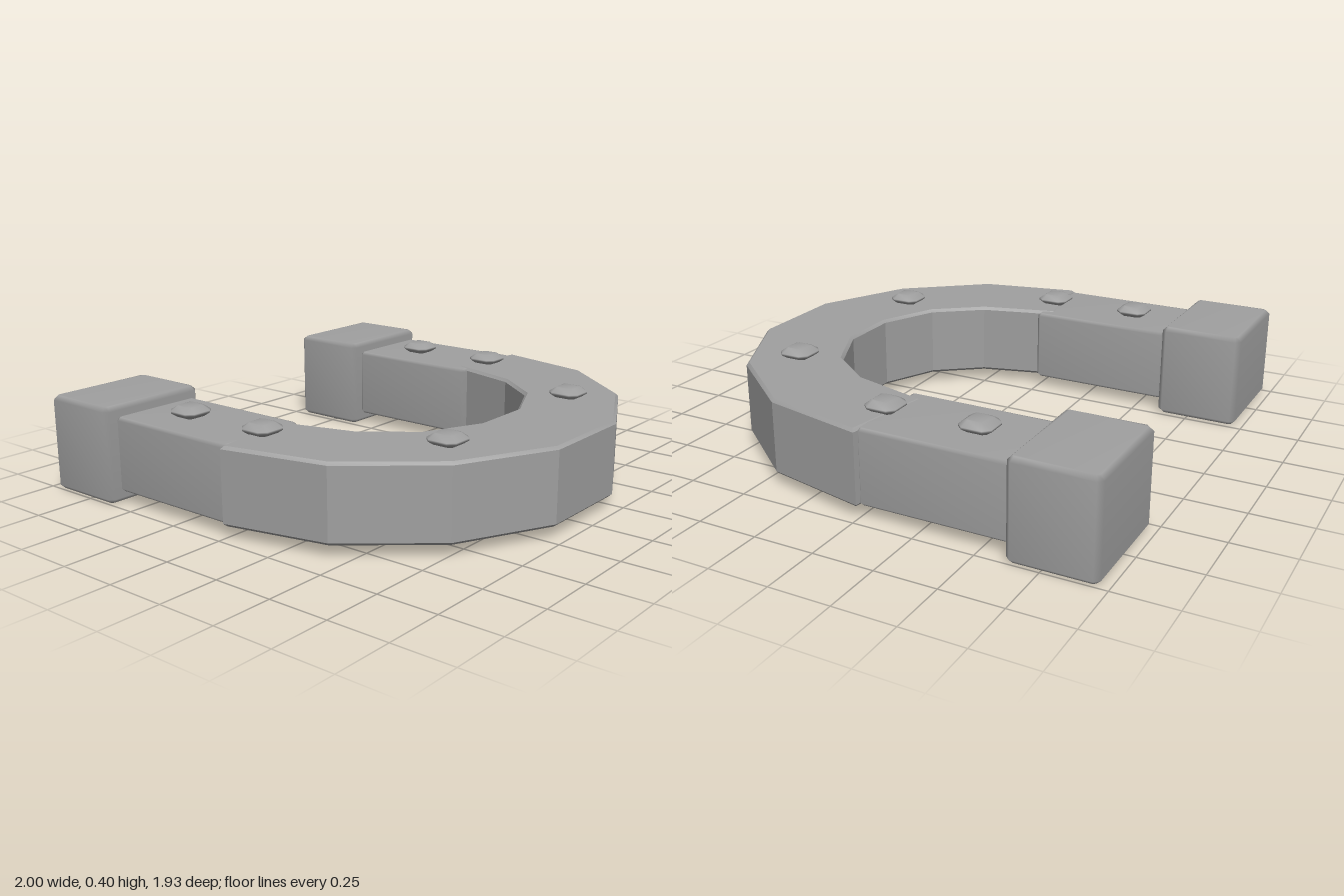
import * as THREE from 'three';
import { mergeVertices, toCreasedNormals } from 'three/addons/utils/BufferGeometryUtils.js';

// Upright prism with chamfered rims: plan points are [x, z], spanning y0..y1
function prism(plan, y0, y1, inset, rim) {
  const shape = new THREE.Shape(plan.map(([x, z]) => new THREE.Vector2(x, z)));
  const geo = new THREE.ExtrudeGeometry(shape, {
    depth: y1 - y0 - 2 * rim, bevelEnabled: true, bevelSegments: 1,
    bevelSize: inset, bevelOffset: -inset, bevelThickness: rim,
  });
  geo.rotateX(Math.PI / 2).translate(0, y1 - rim, 0);
  return geo;
}

// Share vertices so the chamfers shade softly into the faces
function soften(geo) {
  geo.deleteAttribute('uv');
  geo.deleteAttribute('normal');
  const merged = mergeVertices(geo, 1e-4);
  merged.computeVertexNormals();
  return merged;
}

// Rectangle with cut corners, centred on the origin
function cutRect(w, d, c) {
  const x = w / 2, z = d / 2;
  return [[x, -z + c], [x, z - c], [x - c, z], [-x + c, z],
    [-x, z - c], [-x, -z + c], [-x + c, -z], [x - c, -z]];
}

export function createModel() {
  const group = new THREE.Group();
  const iron = new THREE.MeshStandardMaterial({ color: 0xa0a0a0 });
  iron.name = 'grey iron';

  const add = (name, geo, x = 0, z = 0) => {
    const mesh = new THREE.Mesh(geo, iron);
    mesh.name = name;
    mesh.position.set(x, 0, z);
    group.add(mesh);
  };

  // Curved front: half outlines mirrored into one faceted band
  const outer = [[0.975, 0], [0.88, 0.43], [0.605, 0.77], [0.215, 0.965]];
  const inner = [[0.13, 0.565], [0.365, 0.455], [0.515, 0.26], [0.605, -0.065]];
  const mirror = (pts) => pts.map(([x, z]) => [-x, z]).reverse();
  const band = prism([...outer, ...mirror(outer), ...mirror(inner), ...inner], 0.049, 0.361, 0.012, 0.012);
  add('curvedFront', toCreasedNormals(band, 0.35));

  // Straight legs, end blocks and studs on both sides
  const leg = soften(prism(cutRect(0.4, 0.62, 0.015), 0.05, 0.358, 0.012, 0.012));
  const block = soften(prism(cutRect(0.488, 0.35, 0.02), 0, 0.4, 0.018, 0.018));
  const stud = soften(prism(cutRect(0.134, 0.134, 0.026), 0.355, 0.403, 0.028, 0.02));
  for (const [side, s] of [['left', 1], ['right', -1]]) {
    add(side + 'Leg', leg, s * 0.755, -0.305);
    add(side + 'EndBlock', block, s * 0.756, -0.79);
    for (const [x, z] of [[0.755, -0.395], [0.755, 0], [0.433, 0.625]]) add(side + 'Stud', stud, s * x, z);
  }
  return group;
}
